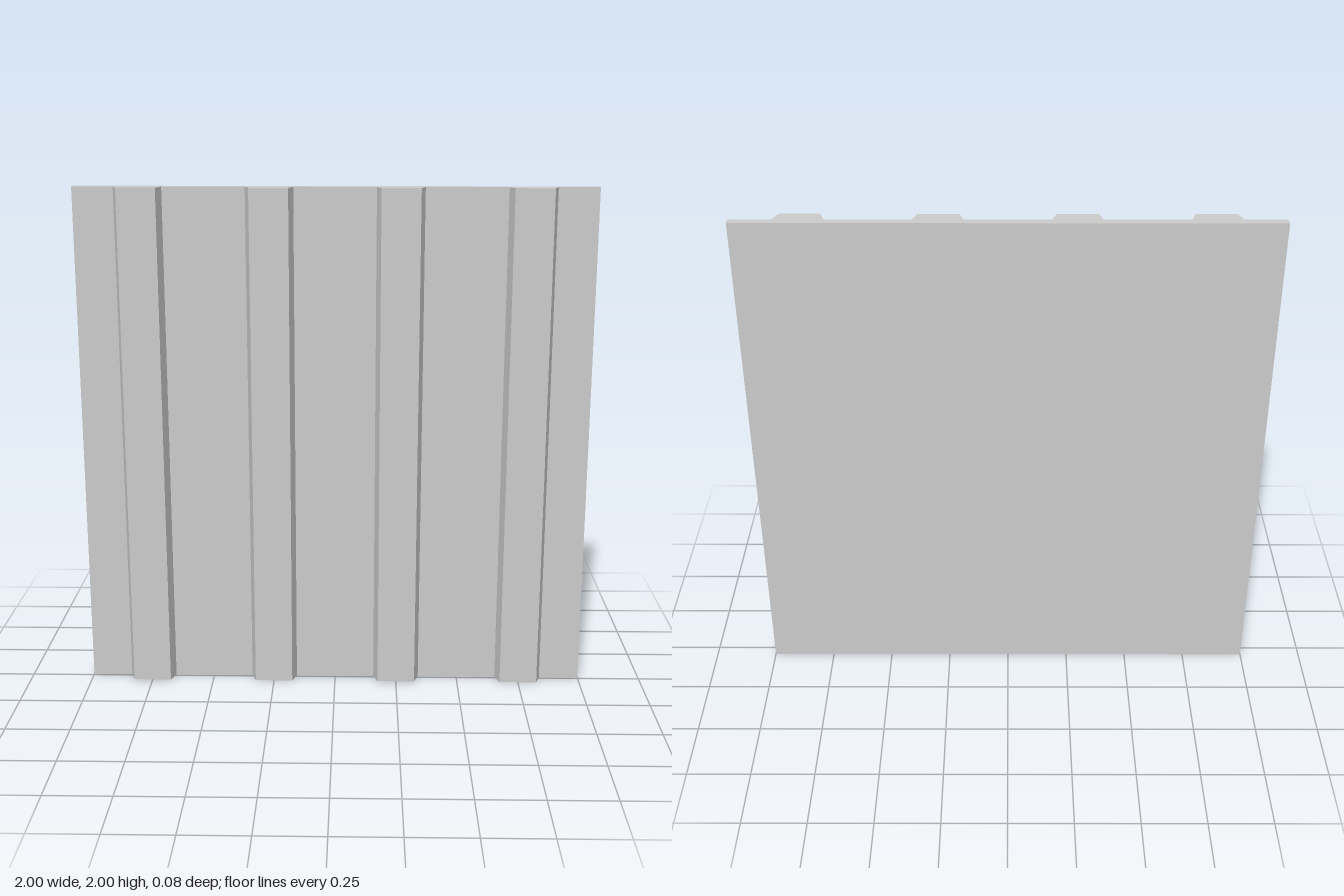
import * as THREE from 'three';

const HEIGHT = 2;
const BACK = -0.042, FACE = -0.008, FRONT = 0.042;

export function createModel() {
  const group = new THREE.Group();
  group.name = 'ribbedPanel';
  const material = new THREE.MeshStandardMaterial({ color: 0xcccccc, flatShading: true });

  // Plan outline: flat back, four trapezoid ribs along the front
  const outline = new THREE.Shape();
  outline.moveTo(-1, -BACK);
  outline.lineTo(-1, -FACE);
  for (const x of [-0.75, -0.25, 0.25, 0.75]) {
    outline.lineTo(x - 0.092, -FACE);
    outline.lineTo(x - 0.075, -FRONT);
    outline.lineTo(x + 0.075, -FRONT);
    outline.lineTo(x + 0.092, -FACE);
  }
  outline.lineTo(1, -FACE);
  outline.lineTo(1, -BACK);
  outline.closePath();

  // Extrude the plan upwards (shape y becomes -z)
  const geometry = new THREE.ExtrudeGeometry(outline, { depth: HEIGHT, bevelEnabled: false });
  geometry.rotateX(-Math.PI / 2);

  const panel = new THREE.Mesh(geometry, material);
  panel.name = 'wallPanel';
  group.add(panel);
  return group;
}
